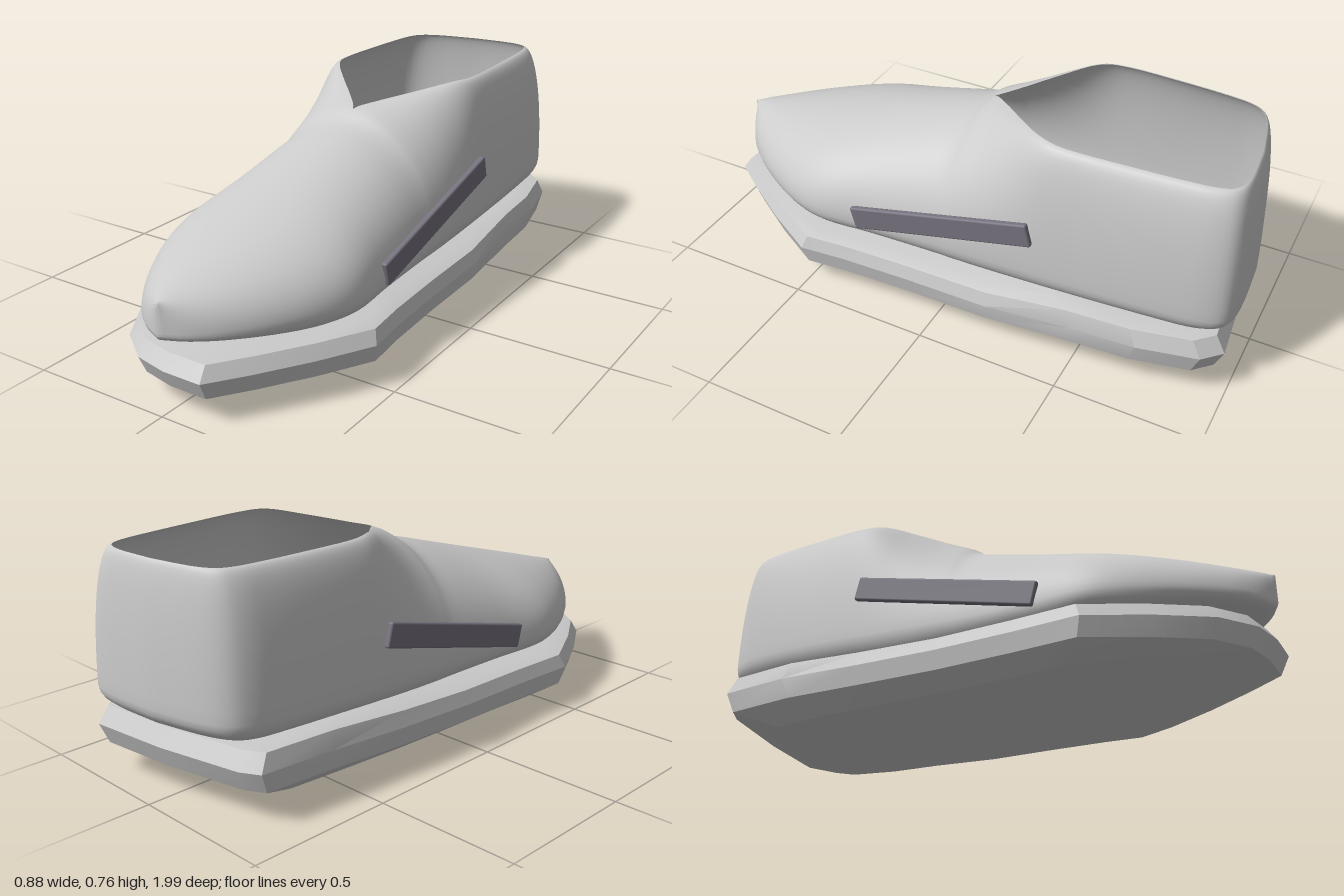
import * as THREE from 'three';
import { mergeVertices, toCreasedNormals } from 'three/addons/utils/BufferGeometryUtils.js';
import { RoundedBoxGeometry } from 'three/addons/geometries/RoundedBoxGeometry.js';

const smooth = THREE.MathUtils.smoothstep;

// Skin closed rings of equal length; collapsed triangles are dropped
function loft(rings) {
  const n = rings[0].length, index = [];
  for (let i = 0; i < rings.length - 1; i++) {
    for (let j = 0; j < n; j++) {
      const k = (j + 1) % n;
      const a = i * n + j, b = i * n + k, c = a + n, d = b + n;
      index.push(a, b, d, a, d, c);
    }
  }
  let g = new THREE.BufferGeometry().setFromPoints(rings.flat());
  g.setIndex(index);
  g = mergeVertices(g, 1e-4);
  const idx = g.index.array, kept = [];
  for (let t = 0; t < idx.length; t += 3) {
    const [a, b, c] = [idx[t], idx[t + 1], idx[t + 2]];
    if (a !== b && b !== c && a !== c) kept.push(a, b, c);
  }
  g.setIndex(kept);
  g.computeVertexNormals();
  return g;
}

// Upper: columns curve from the widest line (x, z) up to the ridge or collar (x, z, y)
function upperGeometry() {
  const stations = [
    [0, 1, 0, 1, 0.37], [0.08, 0.96, 0, 0.96, 0.383], [0.16, 0.89, 0, 0.89, 0.402],
    [0.25, 0.77, 0, 0.77, 0.437], [0.33, 0.62, 0, 0.62, 0.48], [0.367, 0.48, 0, 0.48, 0.52],
    [0.355, 0.3, 0, 0.3, 0.573], [0.348, 0.14, 0, 0.14, 0.62], [0.345, 0.03, 0, 0.03, 0.652],
    [0.345, -0.03, 0, -0.03, 0.692], [0.345, -0.1, 0.055, -0.1, 0.712],
    [0.345, -0.2, 0.15, -0.2, 0.738], [0.345, -0.3, 0.235, -0.3, 0.761],
    [0.345, -0.4, 0.265, -0.4, 0.762], [0.342, -0.6, 0.26, -0.6, 0.762],
    [0.332, -0.76, 0.25, -0.76, 0.762], [0.315, -0.87, 0.238, -0.85, 0.762],
    [0.275, -0.935, 0.21, -0.9, 0.762], [0.18, -0.965, 0.14, -0.925, 0.762],
    [0, -0.98, 0, -0.935, 0.762],
  ];
  const base = new THREE.CatmullRomCurve3(stations.map(([x, z]) =>
    new THREE.Vector3(x, 0.27 + 0.04 * smooth(-z, -0.4, 0.8), z)), false, 'catmullrom');
  const rim = new THREE.CatmullRomCurve3(stations.map(s =>
    new THREE.Vector3(s[2], s[4], s[3])), false, 'catmullrom');
  const skew = p => { p.z -= 0.14 * p.x * smooth(-p.z, 0.6, 0.95); return p; };
  const half = 76, up = 18, columns = [];

  for (let j = 0; j < half * 2; j++) {
    const t = (j <= half ? j : 2 * half - j) / half, side = j <= half ? 1 : -1;
    const b = base.getPoint(t), r = rim.getPoint(t);
    b.x = Math.max(0, b.x) * side;
    r.x = Math.max(0, r.x) * side;
    const floorY = 0.215 + 0.03 * smooth(-b.z, 0, 0.8) + 0.025 * smooth(b.z, 0.6, 1);
    const column = [new THREE.Vector3(0, floorY + 0.005, b.z * 0.8)];
    // Rounded tuck under the foot
    for (let k = 0; k < 5; k++) {
      const a = k / 5 * Math.PI / 2, s = 0.87 + 0.13 * Math.sin(a);
      column.push(new THREE.Vector3(b.x * s, b.y - (b.y - floorY) * Math.cos(a),
        b.z * (0.93 + 0.07 * Math.sin(a))));
    }
    // Wall up to the ridge or collar
    for (let k = 0; k <= up; k++) {
      const a = k / up * Math.PI / 2, c = Math.cos(a);
      column.push(new THREE.Vector3(r.x + (b.x - r.x) * c,
        b.y + (r.y - b.y) * Math.sin(a), r.z + (b.z - r.z) * c));
    }
    columns.push(column.map(skew));
  }
  return loft(columns[0].map((_, k) => columns.map(c => c[k])));
}

// Sole: faceted outline stacked in layers, raised under the heel
function soleGeometry() {
  const outline = [
    [0, 0.985], [0.14, 0.985], [0.23, 0.86], [0.34, 0.69], [0.44, 0.51], [0.425, 0.35],
    [0.415, 0.1], [0.412, -0.2], [0.4, -0.5], [0.385, -0.72], [0.34, -0.92], [0.28, -0.98],
    [0, -0.95], [-0.3, -0.89], [-0.365, -0.855], [-0.39, -0.6], [-0.405, -0.3], [-0.415, 0],
    [-0.425, 0.28], [-0.44, 0.51], [-0.34, 0.71], [-0.24, 0.87], [-0.12, 0.96],
  ];
  // Scale, height at the toe, height at the heel
  const layers = [
    [0, 0.002, 0.002], [0.4, 0.018, 0.02], [0.8, 0.037, 0.045], [0.97, 0.085, 0.105],
    [1, 0.148, 0.175], [0.965, 0.195, 0.232], [0.87, 0.208, 0.24], [0, 0.208, 0.24],
  ];
  const rings = layers.map(([s, toe, heel]) => outline.map(([x, z]) => {
    const lift = s === 0 ? 0 : smooth(-z, 0.15, 0.5);
    return new THREE.Vector3(x * s, toe + (heel - toe) * lift, z * s);
  }));
  return toCreasedNormals(loft(rings), 0.45);
}

export function createModel() {
  const model = new THREE.Group();
  const grey = new THREE.MeshStandardMaterial({ color: 0xcccccc });
  const open = new THREE.MeshStandardMaterial({ color: 0xcccccc, side: THREE.DoubleSide });
  const dark = new THREE.MeshStandardMaterial({ color: 0x77737f });
  const add = (name, geometry, material) => {
    const mesh = new THREE.Mesh(geometry, material);
    mesh.name = name;
    model.add(mesh);
    return mesh;
  };

  add('sole', soleGeometry(), grey);
  add('upper', upperGeometry(), open);

  // Slanted side stripes, lower towards the toe
  for (const side of [1, -1]) {
    const stripe = add(side > 0 ? 'leftStripe' : 'rightStripe',
      new RoundedBoxGeometry(0.022, 0.084, 0.685, 2, 0.007), dark);
    stripe.position.set(side * 0.359, 0.38, 0);
    stripe.rotation.x = 0.25;
  }
  return model;
}
